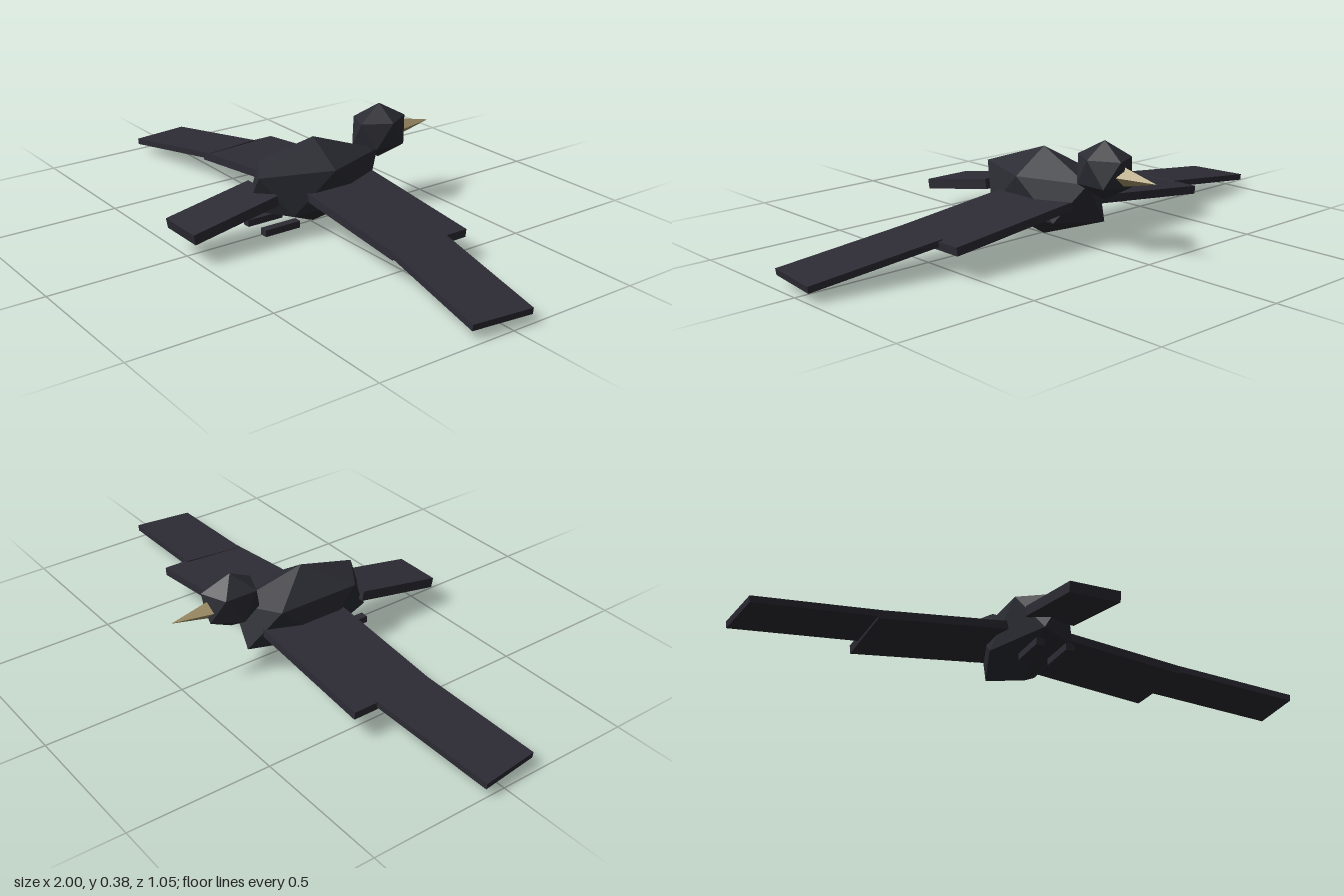
import * as THREE from 'three';
import { ConvexGeometry } from 'three/addons/geometries/ConvexGeometry.js';

const mat = (name, color) => {
  const m = new THREE.MeshStandardMaterial({ color, flatShading: true });
  m.name = name;
  return m;
};

// Icosahedron standing on one vertex, stretched to the given radii
function faceted(rx, ry, rz) {
  const h = 1 / Math.sqrt(5), r = 2 * h;
  const pts = [new THREE.Vector3(0, ry, 0), new THREE.Vector3(0, -ry, 0)];
  for (let i = 0; i < 5; i++) {
    const a = (i * 2 * Math.PI) / 5;
    const x = r * Math.cos(a) * rx, z = r * Math.sin(a) * rz;
    pts.push(new THREE.Vector3(x, h * ry, z), new THREE.Vector3(-x, -h * ry, -z));
  }
  return new ConvexGeometry(pts);
}

export function createModel() {
  const bird = new THREE.Group();
  bird.name = 'bird';
  const plumage = mat('dark plumage', 0x2b2c33);
  const feather = mat('wing feathers', 0x2d2b34);
  const horn = mat('beak horn', 0xa8976c);

  const add = (name, geometry, material, pos, rot = [0, 0, 0]) => {
    const mesh = new THREE.Mesh(geometry, material);
    mesh.name = name;
    mesh.position.set(...pos);
    mesh.rotation.set(...rot);
    bird.add(mesh);
    return mesh;
  };

  add('body', faceted(0.145, 0.155, 0.294), plumage, [0, 0.16, -0.01]);
  add('head', faceted(0.092, 0.1, 0.114), plumage, [0, 0.28, -0.297]);

  // Four-sided beak pointing to -z
  const beak = new THREE.ConeGeometry(0.033, 0.144, 4);
  beak.rotateX(-Math.PI / 2);
  add('beak', beak, horn, [0, 0.273, -0.453]);

  // Tail slopes down towards the rear
  add('tail', new THREE.BoxGeometry(0.176, 0.036, 0.33), feather, [0, 0.127, 0.358], [0.18, 0, 0]);

  // Mirrored wings and feet
  for (const s of [1, -1]) {
    const side = s > 0 ? 'left' : 'right';
    add(side + 'InnerWing', new THREE.BoxGeometry(0.5, 0.029, 0.306), feather,
      [s * 0.307, 0.127, -0.062], [0, 0, -s * 0.108]);
    add(side + 'OuterWing', new THREE.BoxGeometry(0.466, 0.022, 0.217), feather,
      [s * 0.758, 0.078, 0.006], [0, -s * 0.117, -s * 0.134]);
    add(side + 'Foot', new THREE.BoxGeometry(0.03, 0.024, 0.14), feather, [s * 0.053, 0.039, 0.163]);
  }
  return bird;
}
